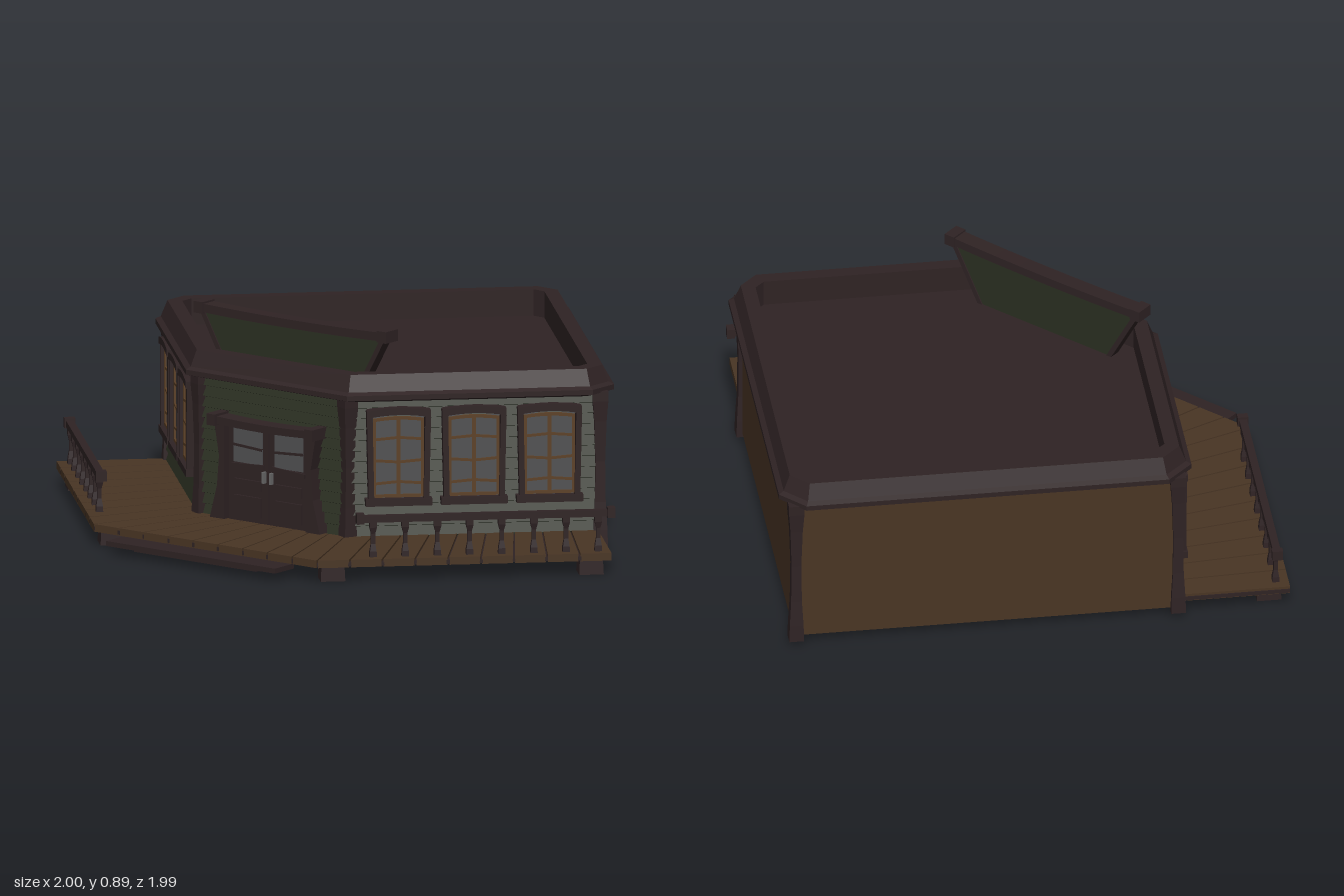
import * as THREE from 'three';

const mat = (name, color) => {
  const m = new THREE.MeshStandardMaterial({ color, flatShading: true });
  m.name = name;
  return m;
};
const M = {
  trim: mat('dark trim', 0x2f2324),
  wood: mat('brown wood', 0x493524),
  green: mat('green siding', 0x2b3022),
  glass: mat('window glass', 0x515153),
  sash: mat('window sash', 0x5c4026),
  metal: mat('handle metal', 0x6a6a6a),
};

function add(parent, name, geo, material, x = 0, y = 0, z = 0) {
  const m = new THREE.Mesh(geo, material);
  m.name = name;
  m.position.set(x, y, z);
  parent.add(m);
  return m;
}
const box = (parent, name, material, w, h, d, x, y, z) =>
  add(parent, name, new THREE.BoxGeometry(w, h, d), material, x, y, z);

// Square post with a profile of [half width, height] points
function squarePost(profile) {
  const pts = profile.map(([r, y]) => new THREE.Vector2(r * Math.SQRT2, y));
  pts.unshift(new THREE.Vector2(0, pts[0].y));
  pts.push(new THREE.Vector2(0, pts[pts.length - 1].y));
  const g = new THREE.LatheGeometry(pts, 4, Math.PI / 4).toNonIndexed();
  g.computeVertexNormals();
  return g;
}

// Upright prism over a plan polygon of [x, z] points
function prism(points, y0, y1) {
  const s = new THREE.Shape(points.map(([x, z]) => new THREE.Vector2(x, -z)));
  return new THREE.ExtrudeGeometry(s, { depth: y1 - y0, bevelEnabled: false })
    .rotateX(-Math.PI / 2).translate(0, y0, 0);
}

// Front-facing shape extruded symmetrically in z
const slab = (shape, depth) => new THREE.ExtrudeGeometry(shape, { depth, bevelEnabled: false, curveSegments: 8 })
  .translate(0, 0, -depth / 2);

// Arched band: bottom y0, thickness t, rise at the middle (negative sags)
function archedBand(hw, y0, t, rise) {
  const s = new THREE.Shape();
  s.moveTo(-hw, y0);
  s.quadraticCurveTo(0, y0 + 2 * rise, hw, y0);
  s.lineTo(hw, y0 + t);
  s.quadraticCurveTo(0, y0 + t + 2 * rise, -hw, y0 + t);
  return s;
}

// Eaves plan, inset by o
function outline(o) {
  const k = 0.414 * o, x0 = -0.62 + o, x1 = 0.995 - o, z0 = -1 + o, z1 = 0.615 - o, c = 0.1 + k;
  const a = 1 - 0.1;
  return [[x0, 0.05 - k], [-0.06 + k, z1], [a - k, z1], [x1, 0.52 - k],
    [x1, -0.9 + k], [a - k, z0], [-0.62 + c, z0], [x0, -0.9 + k]];
}

// Closed moulding swept round the eaves, profile of [inset, height]
function moulding(profile) {
  const pos = [];
  profile.forEach(([o, y], j) => {
    const [o2, y2] = profile[(j + 1) % profile.length];
    const A = outline(o), B = outline(o2);
    A.forEach((p, i) => {
      const n = (i + 1) % A.length;
      const a = [p[0], y, p[1]], b = [A[n][0], y, A[n][1]];
      const c = [B[n][0], y2, B[n][1]], d = [B[i][0], y2, B[i][1]];
      pos.push(...a, ...b, ...c, ...a, ...c, ...d);
    });
  });
  const g = new THREE.BufferGeometry();
  g.setAttribute('position', new THREE.Float32BufferAttribute(pos, 3));
  g.computeVertexNormals();
  return g;
}

// Clapboard wall, local z outward
function facade(name, len, x, z, angle) {
  const g = new THREE.Group();
  g.name = name;
  g.position.set(x, 0, z);
  g.rotation.y = angle;
  box(g, 'innerLining', M.wood, len, 0.59, 0.02, 0, 0.335, -0.02);
  box(g, 'wallBacking', M.green, len, 0.59, 0.01, 0, 0.335, -0.005);
  for (let i = 0; i < 13; i++) {
    const b = box(g, 'clapboard', M.green, len, 0.043, 0.014, 0, 0.105 + i * 0.0425, 0.003);
    b.rotation.x = -0.32;
  }
  return g;
}

function windowUnit(parent, u) {
  const w = new THREE.Group();
  w.name = 'window';
  w.position.x = u;
  parent.add(w);
  box(w, 'glass', M.glass, 0.2, 0.32, 0.008, 0, 0.4, 0.02);
  for (const s of [-1, 1]) {
    box(w, 'frameStile', M.trim, 0.022, 0.36, 0.085, s * 0.111, 0.405, 0.003).rotation.z = s * -0.02;
    box(w, 'sashStile', M.sash, 0.012, 0.31, 0.012, s * 0.094, 0.4, 0.026);
    // slightly crooked glazing bars
    [0.3, 0.385, 0.475].forEach((y, i) => {
      box(w, 'glazingBar', M.sash, 0.09, 0.01, 0.01, s * 0.048, y, 0.026).rotation.z = s * (i === 1 ? 0.08 : -0.08);
    });
  }
  box(w, 'mullion', M.sash, 0.016, 0.31, 0.014, 0, 0.4, 0.026);
  box(w, 'sashRail', M.sash, 0.2, 0.012, 0.012, 0, 0.248, 0.026);
  add(w, 'sashTop', slab(archedBand(0.1, 0.542, 0.012, 0.008), 0.012), M.sash, 0, 0, 0.026);
  add(w, 'header', slab(archedBand(0.125, 0.56, 0.028, 0.012), 0.09), M.trim, 0, 0, 0.005);
  box(w, 'sill', M.trim, 0.26, 0.028, 0.09, 0, 0.225, 0.005);
}

function railing(parent) {
  const r = new THREE.Group();
  r.name = 'railing';
  r.position.z = 0.39;
  parent.add(r);
  box(r, 'handrail', M.trim, 1.0, 0.026, 0.03, 0, 0.238, 0);
  for (const s of [-1, 1]) box(r, 'railEnd', M.trim, 0.03, 0.04, 0.042, s * 0.49, 0.24, 0);
  const geo = squarePost([[0.014, 0.085], [0.013, 0.11], [0.008, 0.14], [0.008, 0.18], [0.014, 0.205], [0.014, 0.23]]);
  for (let i = 0; i < 8; i++) add(r, 'baluster', geo, M.trim, -0.44 + i * 0.1257);
}

function doors(parent) {
  const d = new THREE.Group();
  d.name = 'doubleDoor';
  parent.add(d);
  for (const s of [-1, 1]) {
    box(d, 'doorLeaf', M.trim, 0.194, 0.4, 0.03, s * 0.099, 0.285, 0.018);
    box(d, 'doorGlass', M.glass, 0.14, 0.14, 0.006, s * 0.1, 0.39, 0.035);
    box(d, 'doorGlazingBar', M.trim, 0.14, 0.01, 0.008, s * 0.1, 0.385, 0.037).rotation.z = s * 0.06;
    box(d, 'doorRail', M.trim, 0.16, 0.018, 0.012, s * 0.1, 0.31, 0.038).rotation.z = s * -0.06;
    box(d, 'doorPanel', M.trim, 0.13, 0.08, 0.014, s * 0.1, 0.15, 0.036);
    box(d, 'doorPanel', M.trim, 0.13, 0.04, 0.014, s * 0.1, 0.235, 0.036);
    box(d, 'doorHandle', M.metal, 0.01, 0.045, 0.018, s * 0.018, 0.275, 0.042);
    // flared jamb
    const j = new THREE.Shape([[0.2, 0.09], [0.27, 0.09], [0.235, 0.22], [0.225, 0.34], [0.25, 0.48], [0.2, 0.48]]
      .map(([x, y]) => new THREE.Vector2(s * x, y)));
    add(d, 'doorJamb', slab(j, 0.07), M.trim, 0, 0, 0.025);
    box(d, 'headerBlock', M.trim, 0.04, 0.045, 0.11, s * 0.24, 0.485, 0.04);
  }
  add(d, 'doorHeader', slab(archedBand(0.25, 0.47, 0.03, -0.008), 0.09), M.trim, 0, 0, 0.035);
}

// Flared sign board standing on the roof
function signBoard(parent) {
  const s = new THREE.Group();
  s.name = 'signBoard';
  s.position.z = -0.135;
  parent.add(s);
  const b = new THREE.Shape();
  b.moveTo(-0.3, 0.61);
  b.lineTo(0.3, 0.61);
  b.quadraticCurveTo(0.37, 0.75, 0.44, 0.86);
  b.quadraticCurveTo(0, 0.845, -0.44, 0.86);
  b.quadraticCurveTo(-0.37, 0.75, -0.3, 0.61);
  add(s, 'signPanel', slab(b, 0.035), M.green);
  add(s, 'signCap', slab(archedBand(0.46, 0.853, 0.034, -0.008), 0.065), M.trim);
  for (const k of [-1, 1]) {
    box(s, 'signCapEnd', M.trim, 0.045, 0.046, 0.075, k * 0.45, 0.87, 0);
    box(s, 'signEdge', M.trim, 0.02, 0.27, 0.045, k * 0.375, 0.735, 0).rotation.z = k * -0.51;
  }
}

// Fan of deck planks between the wall line and the outer edge
function deck(parent) {
  const inner = [[-0.54, -0.95], [-0.54, 0.04], [-0.05, 0.53], [0.93, 0.53]];
  const outer = [[-1, -0.95], [-1, 0.215], [-0.225, 0.99], [0.93, 0.99]];
  const counts = [9, 9, 9];
  const mix = (a, b, t) => [a[0] + (b[0] - a[0]) * t, a[1] + (b[1] - a[1]) * t];
  counts.forEach((n, s) => {
    const quad = (t0, t1) => [mix(inner[s], inner[s + 1], t0), mix(outer[s], outer[s + 1], t0),
      mix(outer[s], outer[s + 1], t1), mix(inner[s], inner[s + 1], t1)];
    for (let i = 0; i < n; i++) {
      add(parent, 'deckPlank', prism(quad((i + 0.03) / n, (i + 0.97) / n), 0.058, 0.088), M.wood);
      add(parent, 'deckJoint', prism(quad(Math.max(0, i - 0.05) / n, (i + 0.05) / n), 0.062, 0.078), M.trim);
    }
  });
  const foot = squarePost([[0.048, 0], [0.045, 0.06]]);
  [[0.85, 0.925], [-0.16, 0.925], [-0.925, 0.16], [-0.925, -0.85]]
    .forEach(([x, z]) => add(parent, 'deckFoot', foot, M.trim, x, 0, z));
}

export function createModel() {
  const root = new THREE.Group();
  root.name = 'cornerSaloon';

  // Street walls
  const front = facade('frontWall', 0.98, 0.44, 0.55, 0);
  const left = facade('leftWall', 0.98, -0.56, -0.455, -Math.PI / 2);
  const corner = facade('cornerWall', 0.72, -0.305, 0.295, -Math.PI / 4);
  for (const wall of [front, left]) {
    for (const u of [-0.295, 0, 0.295]) windowUnit(wall, u);
    railing(wall);
  }
  doors(corner);
  signBoard(corner);
  box(corner, 'upperStep', M.trim, 0.83, 0.02, 0.12, 0, 0.045, 0.47);
  box(corner, 'lowerStep', M.trim, 0.6, 0.014, 0.1, 0, 0.029, 0.45);
  root.add(front, left, corner);

  // Plain party walls
  box(root, 'rightWall', M.wood, 0.02, 0.6, 1.5, 0.93, 0.335, -0.2);
  box(root, 'backWall', M.wood, 1.49, 0.6, 0.02, 0.185, 0.335, -0.94);

  // Corner posts
  const post = squarePost([[0.029, 0.02], [0.027, 0.09], [0.021, 0.2], [0.019, 0.36], [0.024, 0.52], [0.03, 0.6], [0.03, 0.64]]);
  [[0.935, 0.55], [0.935, -0.945], [-0.56, -0.945]]
    .forEach(([x, z]) => add(root, 'cornerPost', post, M.trim, x, 0, z));
  [[-0.56, 0.04], [-0.05, 0.55]].forEach(([x, z]) => {
    add(root, 'cornerPost', post, M.trim, x, 0, z).rotation.y = Math.PI / 8;
  });

  // Roof and parapet
  add(root, 'roofDeck', prism(outline(0.06), 0.605, 0.625), M.trim);
  add(root, 'parapet', moulding([[0.05, 0.62], [0, 0.635], [0, 0.655], [0.02, 0.665], [0.045, 0.73], [0.1, 0.73], [0.1, 0.615]]), M.trim);

  deck(root);
  return root;
}
